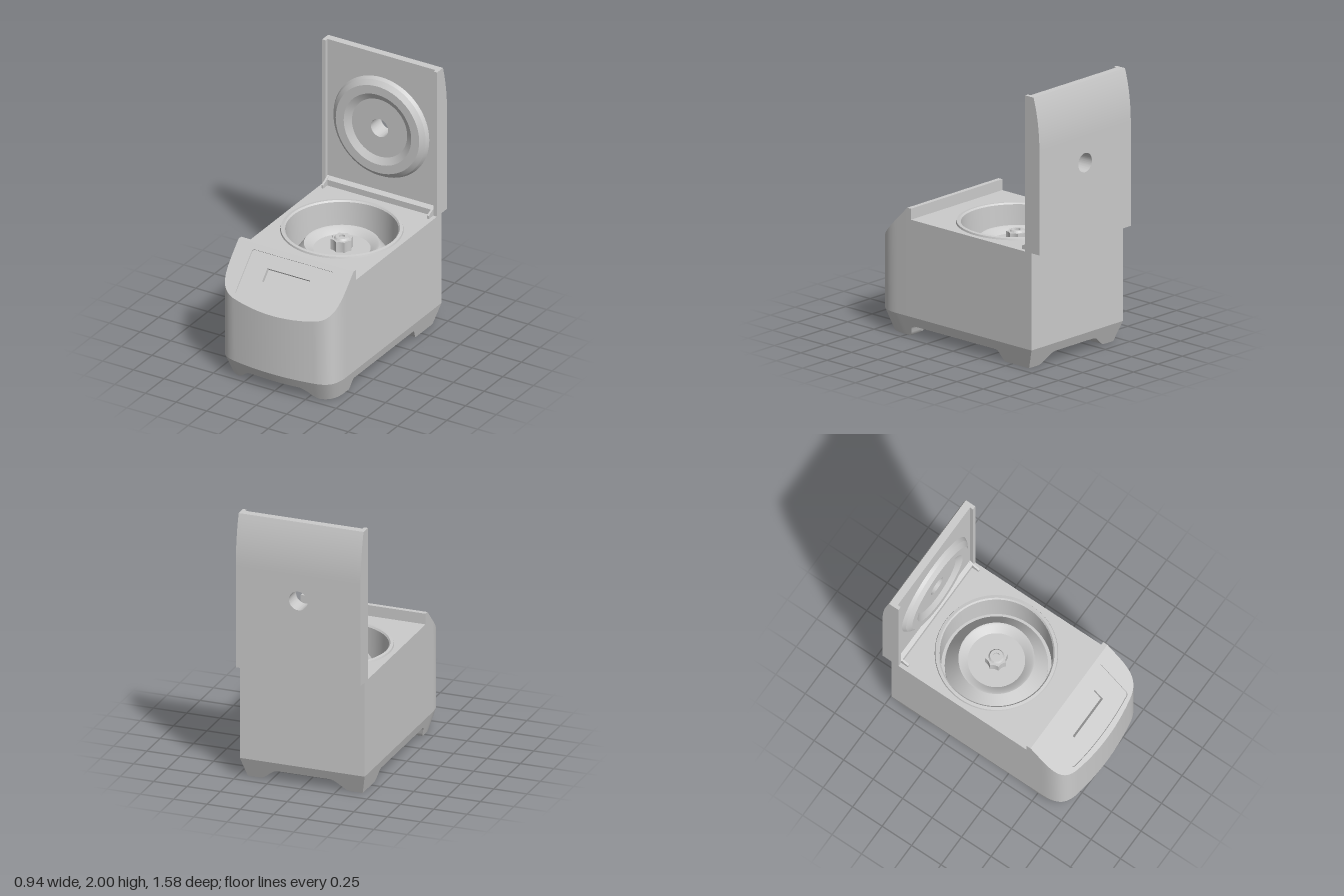
import * as THREE from 'three';
import { toCreasedNormals } from 'three/addons/utils/BufferGeometryUtils.js';

const W = 0.468, BACK = -0.715, SEAM = 0.15, DECK = 0.86, RIDGE = 0.94, BOWL_Z = -0.15, LID_Y = 1.43;
const material = new THREE.MeshStandardMaterial({ color: 0xcccccc, side: THREE.DoubleSide });
const V = (x, y, z) => new THREE.Vector3(x, y, z);

function part(parent, name, geometry, crease = 0.5) {
  const mesh = new THREE.Mesh(toCreasedNormals(geometry, crease), material);
  mesh.name = name;
  parent.add(mesh);
  return mesh;
}

// Skin through rows of points
function skin(rows, closed = false) {
  const n = rows[0].length, index = [];
  for (let j = 0; j < rows.length - 1; j++) {
    for (let i = 0; i < (closed ? n : n - 1); i++) {
      const k = (i + 1) % n, a = j * n + i, b = a + n, c = (j + 1) * n + k, d = j * n + k;
      index.push(a, b, c, a, c, d);
    }
  }
  const g = new THREE.BufferGeometry().setFromPoints(rows.flat());
  g.setIndex(index);
  return g;
}

// Upward face from plan points (x, z), placed in space by a rule
function face(outline, holes, place) {
  const flip = (pts) => pts.map((p) => new THREE.Vector2(p.x, -p.y));
  const shape = new THREE.Shape(flip(outline));
  shape.holes = holes.map((h) => new THREE.Path(flip(h)));
  const g = new THREE.ShapeGeometry(shape);
  const pos = g.attributes.position;
  for (let i = 0; i < pos.count; i++) {
    const p = place({ x: pos.getX(i), y: -pos.getY(i) });
    pos.setXYZ(i, p.x, p.y, p.z);
  }
  return g;
}

// Extrude a (-z, y) profile along x
function extrudeX(shape, x0, x1) {
  const g = new THREE.ExtrudeGeometry(shape, { depth: x1 - x0, bevelEnabled: false, curveSegments: 16 });
  return g.rotateY(Math.PI / 2).translate(x0, 0, 0);
}

const circle = (r, x, y, n = 64) => new THREE.Path().absarc(x, y, r, 0, Math.PI * 2).getPoints(n).slice(0, -1);
const rect = (x, z0, z1) => [[x, z0], [x, z1], [-x, z1], [-x, z0]].map((p) => new THREE.Vector2(...p));

// Rounded front of the plan, from left to right
function frontCurve() {
  const half = new THREE.Path().moveTo(W, 0.56)
    .bezierCurveTo(W, 0.7, 0.42, 0.735, 0.34, 0.757)
    .quadraticCurveTo(0.17, 0.79, 0, 0.79).getPoints(16);
  return [...half, ...half.slice(0, -1).reverse().map((p) => new THREE.Vector2(-p.x, p.y))];
}

const slopeY = (z) => RIDGE - (z - 0.465) * 1.015;
const onSlope = (depth) => (p) => V(p.x, slopeY(p.y) - depth * 0.7, p.y - depth * 0.71);

function buildBody(front) {
  const body = new THREE.Group();
  body.name = 'body';

  // Outer wall following the sloped top
  const side = [[0.465, RIDGE], [0.43, RIDGE], [0.4299, DECK], [BACK, DECK]];
  const top = [
    ...front.map((p) => V(p.x, slopeY(p.y), p.y)),
    ...side.map(([z, y]) => V(-W, y, z)),
    ...side.slice().reverse().map(([z, y]) => V(W, y, z)),
  ];
  part(body, 'outerWall', skin([top.map((p) => V(p.x, SEAM, p.z)), top], true));

  // Deck with the bowl opening, and the ridge in front of it
  part(body, 'deck', face(rect(W, BACK, 0.43), [circle(0.41, 0, BOWL_Z)], (p) => V(p.x, DECK, p.y)));
  const ridge = [[DECK, 0.43], [RIDGE, 0.43], [RIDGE, 0.465]];
  part(body, 'ridge', skin(ridge.map(([y, z]) => [V(-W, y, z), V(W, y, z)])));

  // Sloped fascia with recessed control panel and display
  const panel = new THREE.Path().moveTo(0.335, 0.515).lineTo(0.335, 0.715)
    .quadraticCurveTo(0.335, 0.735, 0.315, 0.737).quadraticCurveTo(0, 0.775, -0.315, 0.737)
    .quadraticCurveTo(-0.335, 0.735, -0.335, 0.715).lineTo(-0.335, 0.515)
    .quadraticCurveTo(-0.335, 0.495, -0.315, 0.495).lineTo(0.315, 0.495)
    .quadraticCurveTo(0.335, 0.495, 0.335, 0.515).getPoints(12).slice(0, -1);
  const display = rect(0.175, 0.567, 0.637);
  const fascia = [...front, new THREE.Vector2(-W, 0.465), new THREE.Vector2(W, 0.465)];
  const recess = (pts, d0, d1) => skin([pts.map(onSlope(d0)), pts.map(onSlope(d1))], true);
  part(body, 'fascia', face(fascia, [panel], onSlope(0)));
  part(body, 'panelEdge', recess(panel, 0, 0.008));
  part(body, 'controlPanel', face(panel, [display], onSlope(0.008)));
  part(body, 'displayEdge', recess(display, 0.008, 0.035));
  part(body, 'display', face(display, [], onSlope(0.035)));
  return body;
}

// Tapered base with four corner feet
function buildBase(front) {
  const base = new THREE.Group();
  base.name = 'base';
  const step = THREE.MathUtils.smoothstep;
  const bottom = (x, z) => {
    const midX = 1 - step(Math.abs(x), 0.2, 0.37);
    const midZ = step(z, -0.475, -0.375) * (1 - step(z, 0.445, 0.51));
    const h = 0.08 * Math.max(midX, midZ);
    const s = 1 - 0.08 * (SEAM - h) / SEAM;
    return V(x * s, h, z * s);
  };
  const fixed = [BACK];
  for (let i = 0; i <= 6; i++) fixed.push(-0.475 + i * 0.1 / 6);
  for (let i = 0; i <= 5; i++) fixed.push(0.445 + i * 0.013);
  const plan = fixed.map((z) => front.map((p) => [p.x, z]));
  for (const t of [0.5, 1]) plan.push(front.map((p) => [p.x, 0.51 + (p.y - 0.51) * t]));
  part(base, 'underside', skin(plan.map((row) => row.map((p) => bottom(...p)))), 0.7);

  const last = front.length - 1, inner = plan.slice(1, -1);
  const rim = [
    ...plan[plan.length - 1],
    ...inner.map((r) => r[last]).reverse(),
    ...plan[0].slice().reverse(),
    ...inner.map((r) => r[0]),
  ];
  part(base, 'skirt', skin([rim.map((p) => bottom(...p)), rim.map(([x, z]) => V(x, SEAM, z))], true));
  return base;
}

// Chamber, rotor and its scalloped nut
function buildRotor() {
  const group = new THREE.Group();
  group.name = 'chamber';
  group.position.z = BOWL_Z;
  const lathe = (pts) => new THREE.LatheGeometry(pts.map((p) => new THREE.Vector2(...p)), 72);
  part(group, 'bowl', lathe([[0.43, DECK], [0.426, 0.873], [0.405, 0.876], [0.395, 0.865],
    [0.385, 0.6], [0.36, 0.6]]));
  part(group, 'rotor', lathe([[0.36, 0.6], [0.36, 0.62], [0.265, 0.755], [0.25, 0.752], [0.2, 0.715], [0, 0.715]]));

  const nut = new THREE.Shape();
  for (let i = 0; i <= 8; i++) {
    const a = i * Math.PI / 4, m = a - Math.PI / 8;
    const x = 0.08 * Math.cos(a), y = 0.08 * Math.sin(a);
    if (i === 0) nut.moveTo(x, y);
    else nut.quadraticCurveTo(0.06 * Math.cos(m), 0.06 * Math.sin(m), x, y);
  }
  part(group, 'rotorNut', new THREE.ExtrudeGeometry(nut, { depth: 0.08, bevelEnabled: false, curveSegments: 5 })
    .rotateX(-Math.PI / 2).translate(0, 0.715, 0), 0.4);
  part(group, 'nutCap', lathe([[0.055, 0.795], [0.045, 0.808], [0.022, 0.808], [0.022, 0.79], [0, 0.79]]));
  return group;
}

function buildLid() {
  const lid = new THREE.Group();
  lid.name = 'lid';
  const profile = (frontZ, y0) => new THREE.Shape().moveTo(-frontZ, y0).lineTo(0.79, y0).lineTo(0.79, 1.62)
    .quadraticCurveTo(0.79, 1.82, 0.735, 2).lineTo(-frontZ, 2);

  // Flat lower part with a sight hole, curved upper part
  const lower = new THREE.Shape([[-0.44, DECK], [0.44, DECK], [0.44, 1.62], [-0.44, 1.62]].map((p) => new THREE.Vector2(...p)));
  lower.holes.push(new THREE.Path(circle(0.07, 0, LID_Y, 40)));
  part(lid, 'lidLower', new THREE.ExtrudeGeometry(lower, { depth: 0.11, bevelEnabled: false }).translate(0, 0, -0.79));
  part(lid, 'lidUpper', extrudeX(profile(-0.68, 1.62), -0.44, 0.44));

  // Raised ring on the inner face
  const ring = [[0.39, 0], [0.375, 0.025], [0.34, 0.053], [0.275, 0.053], [0.225, 0.025], [0.07, 0.025], [0.07, -0.02]];
  part(lid, 'sealRing', new THREE.LatheGeometry(ring.map((p) => new THREE.Vector2(...p)), 72)
    .rotateX(Math.PI / 2).translate(0, LID_Y, -0.68), 0.3);

  // Bar along the hinge line
  const bar = new THREE.Shape().moveTo(0.68, DECK).lineTo(0.68, 0.925).lineTo(0.65, 0.905).lineTo(0.65, DECK);
  part(lid, 'hingeBar', extrudeX(bar, -0.44, 0.44));

  // Side rails and hinge wedges
  const wedge = new THREE.Shape().moveTo(0.595, DECK).lineTo(0.68, DECK).lineTo(0.68, 0.925).lineTo(0.595, 0.885);
  for (const s of [-1, 1]) {
    const name = s > 0 ? 'left' : 'right';
    const span = (a, b) => (s > 0 ? [a, b] : [-b, -a]);
    part(lid, name + 'Rail', extrudeX(profile(-0.655, DECK), ...span(0.44, W)));
    part(lid, name + 'HingeWedge', extrudeX(wedge, ...span(0.423, 0.438)));
  }
  return lid;
}

export function createModel() {
  const model = new THREE.Group();
  model.name = 'benchCentrifuge';
  const front = frontCurve();
  model.add(buildBody(front), buildBase(front), buildRotor(), buildLid());
  return model;
}
